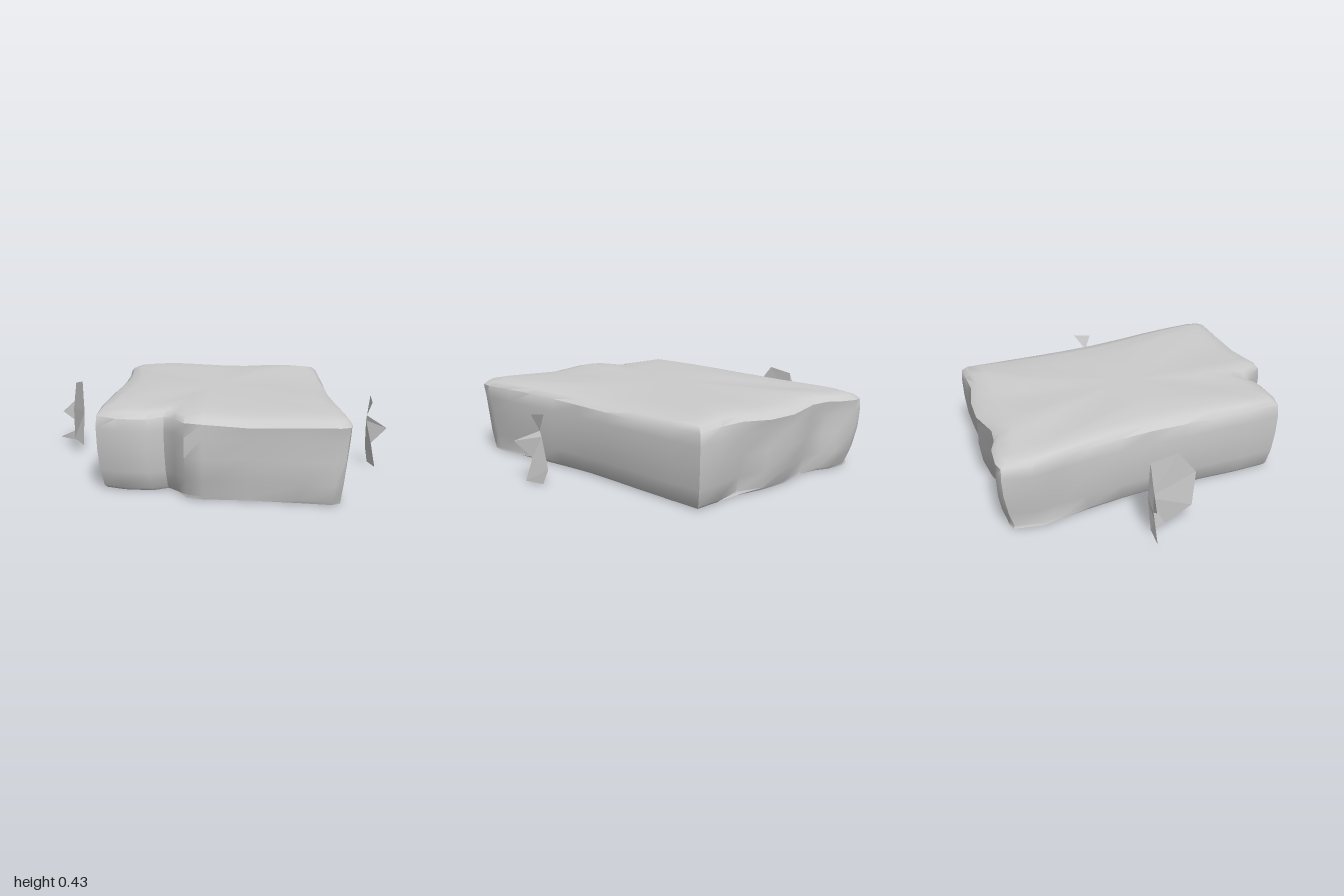
import * as THREE from 'three';
import { toCreasedNormals } from 'three/addons/utils/BufferGeometryUtils.js';

// Plan of the slab as x, z pairs, going round from the back corner
const PLAN = [
  [-0.31, -1], [-0.25, -0.995], [-0.14, -0.95], [-0.08, -0.9], [0.02, -0.855], [0.22, -0.83],
  [0.38, -0.77], [0.52, -0.69], [0.66, -0.645], [0.79, -0.6], [0.75, -0.42], [0.7, -0.2],
  [0.65, 0], [0.6, 0.2], [0.56, 0.4], [0.53, 0.57], [0.5, 0.75], [0.47, 0.92],
  [0.44, 0.985], [0.39, 0.995], [0.24, 0.94], [0, 0.86], [-0.22, 0.8], [-0.3, 0.76],
  [-0.33, 0.65], [-0.37, 0.585], [-0.46, 0.605], [-0.6, 0.555], [-0.69, 0.49], [-0.65, 0.3],
  [-0.6, 0.12], [-0.55, -0.06], [-0.5, -0.23], [-0.46, -0.4], [-0.42, -0.6], [-0.4, -0.75], [-0.385, -0.87],
];

// Height and inset of each ring, bottom to top
const RINGS = [
  [0.01, 0.3], [0.01, 0.06], [0.025, 0.045], [0.11, 0.02], [0.22, 0.005],
  [0.32, 0], [0.385, 0.005], [0.41, 0.04], [0.425, 0.12], [0.427, 0.3],
];

function buildGeometry(points, index) {
  const geometry = new THREE.BufferGeometry();
  geometry.setAttribute('position', new THREE.Float32BufferAttribute(points.flat(), 3));
  geometry.setIndex(index);
  return geometry;
}

function slabGeometry() {
  const n = PLAN.length, points = [], index = [];
  RINGS.forEach(([y, inset], r) => {
    PLAN.forEach(([x, z]) => {
      const d = Math.hypot(x, z);
      // shallow dents along the short ends, gentle waves across the top
      const dent = r > 1 && r < 6 && Math.abs(z) > 0.65 ? 0.012 * (1 + Math.sin(x * 14 + y * 9)) : 0;
      const k = 1 - (inset + dent) / d;
      const wave = r > 5 ? 0.008 * Math.sin(x * 8 + z * 5) - 0.012 * Math.max(0, Math.abs(z) - 0.6) : 0;
      points.push([x * k, y + wave, z * k]);
    });
  });
  for (let r = 0; r < RINGS.length - 1; r++) {
    for (let i = 0; i < n; i++) {
      const j = (i + 1) % n, a = r * n + i, b = r * n + j;
      index.push(a, a + n, b, b, a + n, b + n);
    }
  }
  // centre points close the bottom and the top
  const bottom = points.push([0, 0.005, 0]) - 1;
  const top = points.push([0, 0.43, 0]) - 1;
  const last = (RINGS.length - 1) * n;
  for (let i = 0; i < n; i++) {
    const j = (i + 1) % n;
    index.push(bottom, i, j, top, last + j, last + i);
  }
  return toCreasedNormals(buildGeometry(points, index), 0.85);
}

export function createModel() {
  const group = new THREE.Group();
  const stone = new THREE.MeshStandardMaterial({ color: 0xcccccc, side: THREE.DoubleSide });
  stone.name = 'stone grey';

  function add(name, geometry) {
    const mesh = new THREE.Mesh(geometry, stone);
    mesh.name = name;
    group.add(mesh);
  }
  function addShard(name, points, index) {
    const geometry = buildGeometry(points, index).toNonIndexed();
    geometry.computeVertexNormals();
    add(name, geometry);
  }

  add('slab', slabGeometry());

  // Thin zigzag flake on the left
  addShard('leftFlake', [
    [0.83, 0.38, 0.24], [0.8, 0.36, 0.345], [0.79, 0.28, 0.3], [0.86, 0.23, 0.41],
    [0.8, 0.135, 0.345], [0.79, 0.25, 0.29], [0.81, 0.09, 0.24], [0.81, 0.01, 0.275], [0.81, 0.01, 0.385],
  ], [0, 1, 2, 2, 3, 5, 3, 4, 5, 5, 4, 6, 4, 8, 6, 6, 8, 7]);

  // Upright flake with two spikes on the right
  addShard('rightFlake', [
    [-0.72, 0.39, -0.44], [-0.76, 0.41, -0.3], [-0.78, 0.28, -0.2], [-0.78, 0.1, -0.22],
    [-0.73, 0.02, -0.35], [-0.715, 0.2, -0.45],
    [-0.84, 0.2, -0.5], [-0.77, 0.27, -0.46], [-0.77, 0.15, -0.46],
    [-0.86, 0.04, -0.51], [-0.73, 0.02, -0.44], [-0.77, 0.09, -0.45],
  ], [
    0, 5, 1, 1, 5, 2, 2, 5, 3, 3, 5, 4,
    6, 8, 7, 7, 8, 5, 5, 7, 0, 9, 10, 11, 11, 10, 5, 5, 10, 4, 8, 11, 5,
  ]);

  return group;
}
